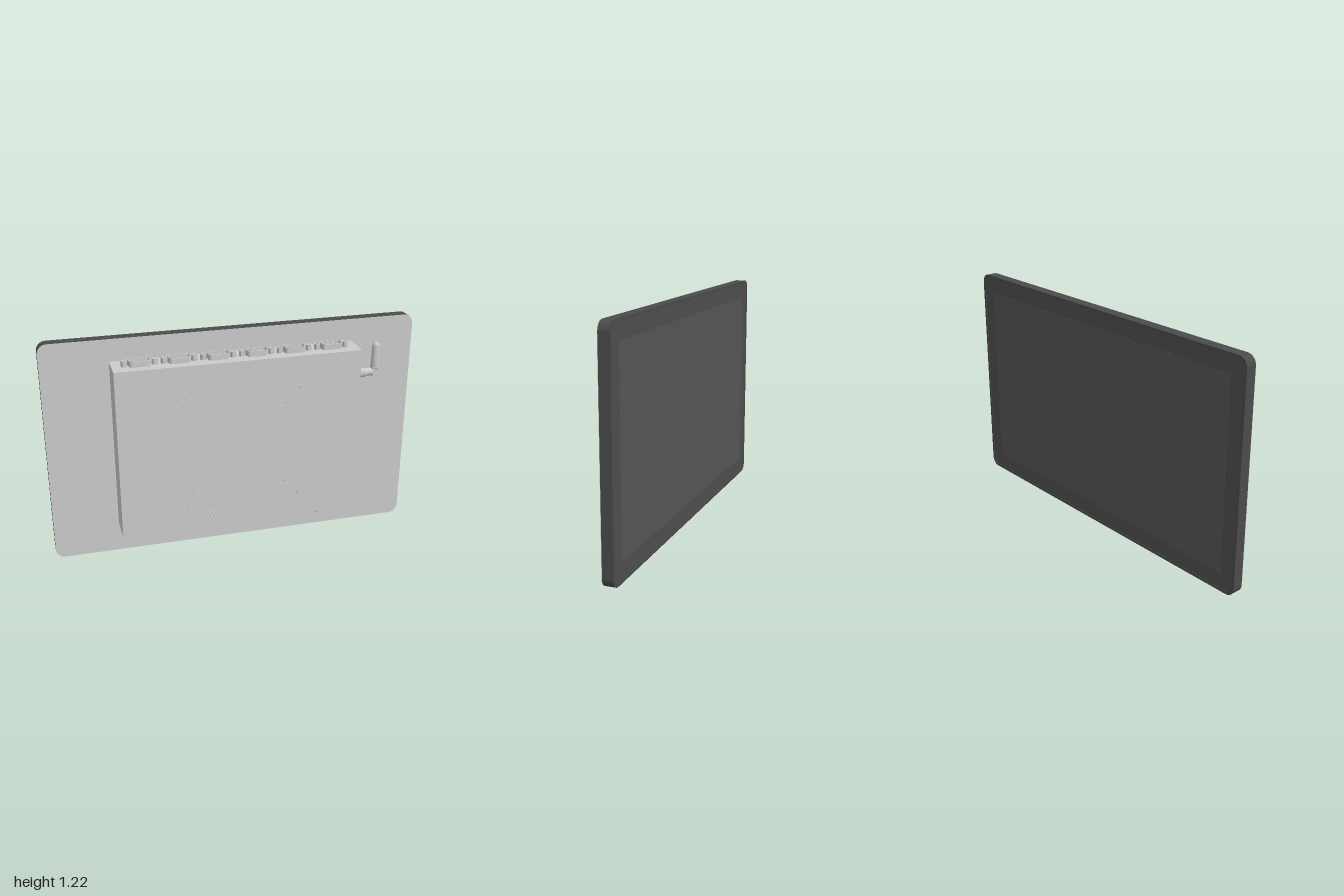
import * as THREE from 'three';

const grey = new THREE.MeshStandardMaterial({ color: 0xcccccc });
const dark = new THREE.MeshStandardMaterial({ color: 0x4b4b4b });
const glassMat = new THREE.MeshStandardMaterial({ color: 0x4f4f4f });
const screenMat = new THREE.MeshStandardMaterial({ color: 0x565656 });

// Outline helpers
function roundRect(x0, y0, x1, y1, r, P = THREE.Shape) {
  const p = new P();
  p.absarc(x1 - r, y0 + r, r, -Math.PI / 2, 0);
  p.absarc(x1 - r, y1 - r, r, 0, Math.PI / 2);
  p.absarc(x0 + r, y1 - r, r, Math.PI / 2, Math.PI);
  p.absarc(x0 + r, y0 + r, r, Math.PI, Math.PI * 1.5);
  p.closePath();
  return p;
}
const circle = (x, y, r) => new THREE.Path().absarc(x, y, r, 0, Math.PI * 2);

// D-shaped connector outline, wide side at +y
function dShape(s, P = THREE.Shape) {
  const p = new P(), r = 0.014 * s;
  const c = [[-0.038, -0.014], [0.038, -0.014], [0.043, 0.014], [-0.043, 0.014]];
  c.forEach(([x, y], i) => p.absarc(x, y, r, (i - 2) * Math.PI / 2 + Math.PI / 2 - Math.PI / 2, (i - 1) * Math.PI / 2 + 0));
  p.closePath();
  return p;
}

function extrude(shape, depth, holes = []) {
  shape.holes.push(...holes);
  return new THREE.ExtrudeGeometry(shape, { depth, bevelEnabled: false, curveSegments: 10 });
}

function add(parent, name, geometry, material, x = 0, y = 0, z = 0) {
  const m = new THREE.Mesh(geometry, material);
  m.name = name;
  m.position.set(x, y, z);
  parent.add(m);
  return m;
}
const box = (x0, x1, y0, y1, z0, z1) =>
  new THREE.BoxGeometry(x1 - x0, y1 - y0, z1 - z0).translate((x0 + x1) / 2, (y0 + y1) / 2, (z0 + z1) / 2);

function displayPanel() {
  const g = new THREE.Group();
  g.name = 'displayPanel';
  const outline = (i, P) => roundRect(-1 + i, i, 1 - i, 1.22 - i, 0.05 - i, P);
  add(g, 'mountingPlate', extrude(outline(0), 0.002), grey, 0, 0, -0.052);
  add(g, 'panelRim', extrude(outline(0), 0.058, [outline(0.014, THREE.Path)]), dark, 0, 0, -0.11);
  add(g, 'coverGlass', extrude(outline(0.014), 0.055), glassMat, 0, 0, -0.107);
  add(g, 'screen', box(-0.905, 0.905, 0.1, 1.12, -0.108, -0.106), screenMat);
  return g;
}

function enclosure() {
  const g = new THREE.Group();
  g.name = 'enclosure';
  add(g, 'housing', box(-0.65, 0.64, 0.18, 1.1, -0.05, 0.1), grey);

  // Cover with mounting holes and speaker grille
  const holes = [];
  for (const s of [-1, 1]) {
    for (const [x, y] of [[0.305, 0.925], [0.305, 0.31], [0.23, 0.845], [0.23, 0.385]]) holes.push(circle(s * x, y, 0.011));
  }
  [[0, 1], [0.0185, 6], [0.037, 12]].forEach(([r, n]) => {
    for (let i = 0; i < n; i++) {
      const a = i / n * Math.PI * 2;
      holes.push(circle(-0.15 + r * Math.cos(a), 0.245 + r * Math.sin(a), 0.0055));
    }
  });
  add(g, 'coverPlate', extrude(roundRect(-0.65, 0.17, 0.65, 1.1, 0.002), 0.01, holes), grey, 0, 0, 0.1);

  // Side wall with two card slots and a round opening
  const slots = [[0.62, 0.725], [0.75, 0.855]].map(([a, b]) => roundRect(-0.013, a, 0.003, b, 0.004, THREE.Path));
  add(g, 'sidePlate', extrude(roundRect(-0.1, 0.17, 0.05, 1.1, 0.001), 0.01, [...slots, circle(-0.033, 0.435, 0.019)])
    .rotateY(Math.PI / 2), grey, 0.64);
  add(g, 'roundButton', new THREE.CylinderGeometry(0.016, 0.016, 0.009, 24).rotateZ(Math.PI / 2), grey, 0.6445, 0.435, 0.033);

  // Bottom wall with port openings: x centre and width
  const ports = [[-0.4, 0.07], [-0.3, 0.07], [-0.03, 0.08], [0.12, 0.08], [0.29, 0.08]]
    .map(([x, w]) => roundRect(x - w / 2, 0, x + w / 2, 0.05, 0.003, THREE.Path));
  add(g, 'bottomPlate', extrude(roundRect(-0.65, -0.05, 0.64, 0.1, 0.001), 0.01, [...ports, circle(-0.55, 0.025, 0.018)])
    .rotateX(Math.PI / 2), grey, 0, 0.18);
  return g;
}

// Nine-pin serial port standing on the top wall
function serialPort(x) {
  const g = new THREE.Group();
  g.name = 'serialPort';
  const up = (geo) => geo.rotateX(-Math.PI / 2);
  add(g, 'shell', up(extrude(dShape(1.15), 0.03, [dShape(0.85, THREE.Path)])), grey);
  add(g, 'insert', up(extrude(dShape(0.86), 0.012)), grey);
  for (let i = 0; i < 9; i++) {
    const top = i < 5;
    const px = top ? (i - 2) * 0.015 : (i - 6.5) * 0.015;
    add(g, 'pin', new THREE.CylinderGeometry(0.0028, 0.0028, 0.02, 8), grey, px, 0.014, top ? -0.007 : 0.008);
  }
  for (const s of [-1, 1]) {
    const hex = new THREE.Shape();
    for (let i = 0; i < 6; i++) {
      const a = i * Math.PI / 3;
      hex[i ? 'lineTo' : 'moveTo'](0.017 * Math.cos(a), 0.017 * Math.sin(a));
    }
    hex.closePath();
    add(g, 'standoff', up(extrude(hex, 0.03, [circle(0, 0, 0.008)])), grey, s * 0.078);
  }
  g.position.set(x, 1.1, 0.032);
  return g;
}

// Hinged antenna on the left wall
function antenna() {
  const g = new THREE.Group();
  g.name = 'antenna';
  const lying = (r, h, n) => new THREE.CylinderGeometry(r, r, h, n).rotateZ(Math.PI / 2);
  add(g, 'nut', lying(0.027, 0.05, 6), grey, 0.025);
  add(g, 'barrel', lying(0.021, 0.05, 24), grey, 0.07);
  add(g, 'hinge', box(0.09, 0.13, -0.022, 0.03, -0.02, 0.02), grey);
  const profile = [[0, 0.015], [0.021, 0.015], [0.024, 0.025], [0.022, 0.145], [0.017, 0.157], [0.01, 0.162], [0, 0.163]]
    .map(([r, y]) => new THREE.Vector2(r, y));
  add(g, 'mast', new THREE.LatheGeometry(profile, 24), grey, 0.11);
  g.position.set(0.65, 0.947, 0.037);
  return g;
}

// Three-way power terminal under the bottom wall
function powerTerminal() {
  const g = new THREE.Group();
  g.name = 'powerTerminal';
  const cells = [-1, 0, 1].map((i) => roundRect(0.53 + i * 0.04 - 0.016, -0.012, 0.53 + i * 0.04 + 0.016, 0.028, 0.004, THREE.Path));
  add(g, 'terminalShell', extrude(roundRect(0.465, -0.025, 0.595, 0.04, 0.002), 0.055, cells).rotateX(Math.PI / 2), grey, 0, 0.17);
  for (const i of [-1, 0, 1]) {
    add(g, 'contact', new THREE.CylinderGeometry(0.005, 0.005, 0.04, 10), grey, 0.53 + i * 0.04, 0.15, 0.008);
  }
  return g;
}

export function createModel() {
  const model = new THREE.Group();
  model.name = 'panelComputer';
  model.add(displayPanel(), enclosure(), antenna(), powerTerminal());
  for (let i = 0; i < 6; i++) model.add(serialPort(-0.508 + i * 0.2027));
  return model;
}
